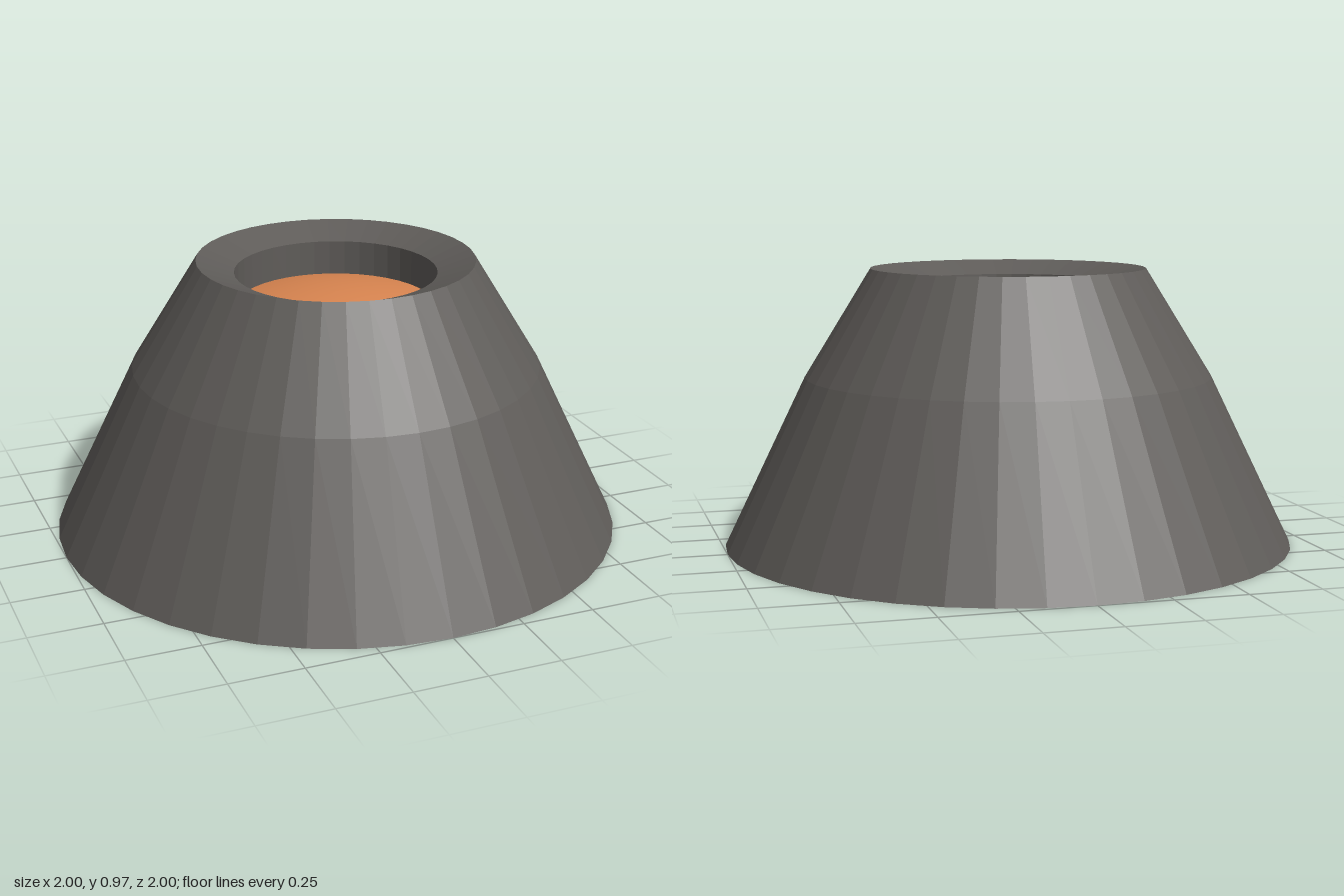
import * as THREE from 'three';

const SEGMENTS = 40;

const lathe = (points) =>
  new THREE.LatheGeometry(points.map(([r, y]) => new THREE.Vector2(r, y)), SEGMENTS);

export function createModel() {
  const group = new THREE.Group();
  group.name = 'flaredHousing';

  const charcoal = new THREE.MeshStandardMaterial({ color: 0x5f5c59, side: THREE.DoubleSide, flatShading: true });
  charcoal.name = 'charcoal';
  const copper = new THREE.MeshStandardMaterial({ color: 0xd98550, side: THREE.DoubleSide });
  copper.name = 'copper';

  const add = (name, geometry, material) => {
    const mesh = new THREE.Mesh(geometry, material);
    mesh.name = name;
    group.add(mesh);
  };

  // Thin outer shell, open underneath
  add('shell', lathe([[1, 0], [0.715, 0.59], [0.483, 0.967]]), charcoal);

  // Rim sloping inward, then the short wall of the recess
  add('rim', lathe([[0.483, 0.967], [0.352, 0.92]]), charcoal);
  add('recessWall', lathe([[0.352, 0.92], [0.352, 0.79]]), charcoal);

  // Gently domed cap in the recess, just clear of the wall
  const radius = 0.344, edgeY = 0.8, rise = 0.045, steps = 8;
  const dome = [];
  for (let i = 0; i <= steps; i++) {
    const t = 1 - i / steps;
    dome.push([radius * t, edgeY + rise * (1 - t * t)]);
  }
  add('domedCap', lathe(dome), copper);

  return group;
}
